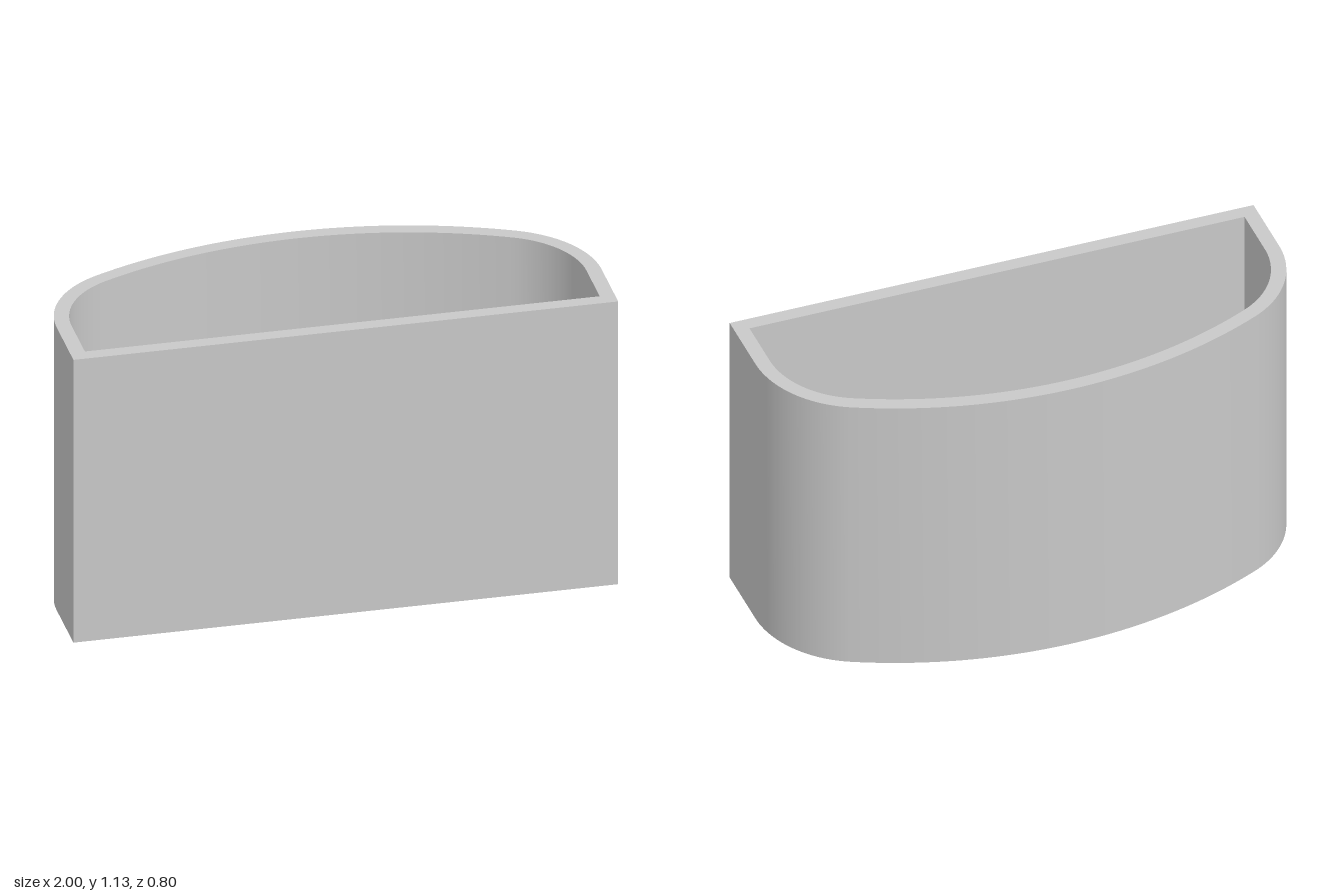
import * as THREE from 'three';
import { toCreasedNormals } from 'three/addons/utils/BufferGeometryUtils.js';

const HEIGHT = 1.135, WALL = 0.055;
const BACK_R = 1.78, CORNER_R = 0.405; // radii of the bowed back and its corners

// D-shaped outline, moved inwards by the given inset (shape y = -z)
function traceOutline(path, inset) {
  const cx = 1 - CORNER_R, back = 0.4 - BACK_R;
  const lean = Math.asin(cx / (BACK_R - CORNER_R));
  const cy = back + (BACK_R - CORNER_R) * Math.cos(lean);
  const join = Math.PI / 2 - lean;
  path.moveTo(-1 + inset, -0.4 + inset);
  path.lineTo(1 - inset, -0.4 + inset);
  path.absarc(cx, cy, CORNER_R - inset, 0, join, false);
  path.absarc(0, back, BACK_R - inset, join, Math.PI - join, false);
  path.absarc(-cx, cy, CORNER_R - inset, Math.PI - join, Math.PI, false);
  path.closePath();
  return path;
}

export function createModel() {
  const model = new THREE.Group();
  const grey = new THREE.MeshStandardMaterial({ color: 0xc8c8c8 });
  grey.name = 'light grey';

  // Sleeve, open at top and bottom
  const outline = traceOutline(new THREE.Shape(), 0);
  outline.holes.push(traceOutline(new THREE.Path(), WALL));
  const extruded = new THREE.ExtrudeGeometry(outline, { depth: HEIGHT, bevelEnabled: false, curveSegments: 24 });
  extruded.rotateX(-Math.PI / 2);
  const sleeve = new THREE.Mesh(toCreasedNormals(extruded, 0.5), grey);
  sleeve.name = 'sleeve';
  model.add(sleeve);

  // Small square pads on the inside of the flat front wall
  for (const y of [0.228, 0.408]) {
    const pad = new THREE.Mesh(new THREE.BoxGeometry(0.095, 0.095, 0.016), grey);
    pad.name = 'innerPad';
    pad.position.set(-0.0925, y, 0.4 - WALL - 0.007);
    model.add(pad);
  }
  return model;
}
